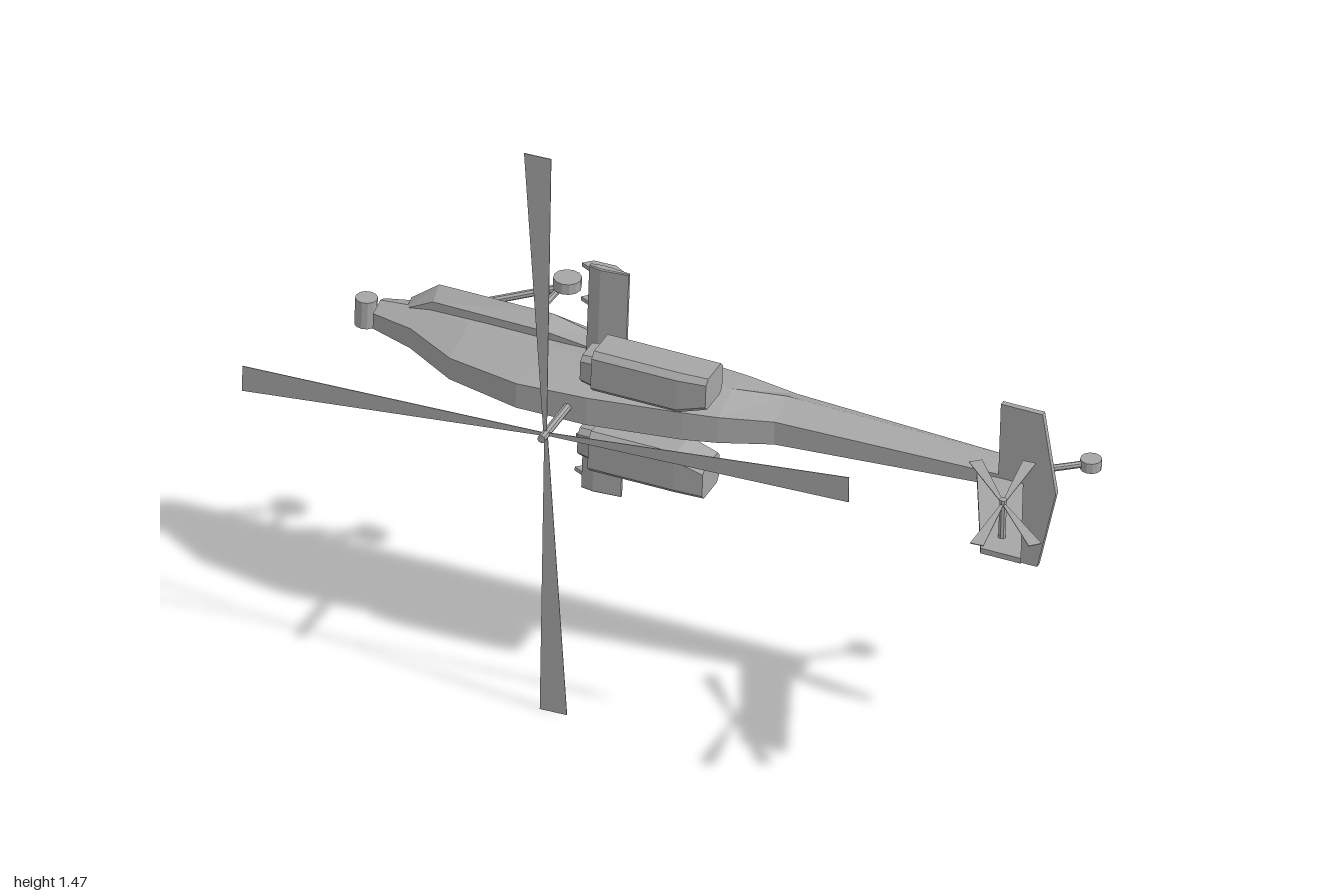
import * as THREE from 'three';

const grey = new THREE.MeshStandardMaterial({ color: 0xa6a6a6, side: THREE.DoubleSide });
grey.name = 'grey';

function add(parent, name, geometry, x = 0, y = 0, z = 0) {
  const flat = geometry.index ? geometry.toNonIndexed() : geometry;
  flat.computeVertexNormals();
  const mesh = new THREE.Mesh(flat, grey);
  mesh.name = name;
  mesh.position.set(x, y, z);
  parent.add(mesh);
  return mesh;
}

// Closed hull along x; every section is { x, ring: [[y, z], ...] }, counter-clockwise from +x
function loft(sections) {
  const pos = [], n = sections[0].ring.length;
  const put = (s, j) => pos.push(s.x, ...s.ring[j % n]);
  for (let i = 0; i < sections.length - 1; i++) {
    const a = sections[i], b = sections[i + 1];
    for (let j = 0; j < n; j++) {
      put(a, j); put(a, j + 1); put(b, j);
      put(a, j + 1); put(b, j + 1); put(b, j);
    }
  }
  const first = sections[0], last = sections[sections.length - 1];
  for (let j = 1; j < n - 1; j++) {
    put(first, 0); put(first, j + 1); put(first, j);
    put(last, 0); put(last, j); put(last, j + 1);
  }
  const g = new THREE.BufferGeometry();
  g.setAttribute('position', new THREE.Float32BufferAttribute(pos, 3));
  return g;
}

// Six-sided symmetric section: bottom, middle and top heights, then half widths
const hull = (rows) => loft(rows.map(([x, zb, zm, zt, wb, wm, wt]) => ({
  x, ring: [[wb, zb], [wm, zm], [wt, zt], [-wt, zt], [-wm, zm], [-wb, zb]],
})));

// Box section with cut corners
const chamfered = (x, y, z, hy, hz, c) => ({
  x,
  ring: [[hy - c, -hz], [hy, -hz + c], [hy, hz - c], [hy - c, hz],
    [-hy + c, hz], [-hy, hz - c], [-hy, -hz + c], [-hy + c, -hz]].map(([a, b]) => [y + a, z + b]),
});

function plate(points, depth) {
  const shape = new THREE.Shape(points.map(([a, b]) => new THREE.Vector2(a, b)));
  const g = new THREE.ExtrudeGeometry(shape, { depth, bevelEnabled: false });
  return g.translate(0, 0, -depth / 2);
}

function rod(parent, name, from, to, radius) {
  const a = new THREE.Vector3(...from), b = new THREE.Vector3(...to);
  const mesh = add(parent, name, new THREE.CylinderGeometry(radius, radius, a.distanceTo(b), 8));
  mesh.position.copy(a).add(b).multiplyScalar(0.5);
  mesh.quaternion.setFromUnitVectors(new THREE.Vector3(0, 1, 0), b.sub(a).normalize());
}

const wheel = (radius, width) => new THREE.CylinderGeometry(radius, radius, width, 12);

export function createModel() {
  const model = new THREE.Group();
  model.name = 'helicopter';

  // The aircraft lies on its side: nose at -x, its roof towards +z
  const craft = new THREE.Group();
  craft.name = 'aircraft';
  craft.position.y = 0.731;
  craft.rotation.set(-0.045, 0, -0.0142);
  model.add(craft);

  add(craft, 'fuselage', hull([
    [-0.805, -0.165, -0.14, -0.1, 0.024, 0.034, 0.02],
    [-0.7, -0.182, -0.13, -0.07, 0.035, 0.05, 0.026],
    [-0.57, -0.188, -0.1, 0.008, 0.045, 0.06, 0.028],
    [-0.39, -0.192, -0.08, 0.046, 0.05, 0.066, 0.032],
    [-0.22, -0.194, -0.08, 0.038, 0.055, 0.075, 0.036],
    [0.0, -0.196, -0.09, 0.0, 0.05, 0.072, 0.036],
    [0.08, -0.196, -0.1, -0.02, 0.045, 0.066, 0.034],
    [0.2, -0.196, -0.14, -0.064, 0.03, 0.056, 0.03],
    [0.8, -0.187, -0.15, -0.11, 0.014, 0.02, 0.014],
  ]));
  add(craft, 'sideFairings', hull([
    [-0.735, -0.18, -0.155, -0.125, 0.04, 0.052, 0.04],
    [-0.67, -0.187, -0.16, -0.125, 0.075, 0.102, 0.075],
    [-0.39, -0.19, -0.16, -0.115, 0.075, 0.102, 0.08],
    [-0.27, -0.192, -0.155, -0.11, 0.06, 0.078, 0.07],
    [-0.08, -0.19, -0.15, -0.11, 0.045, 0.062, 0.06],
  ]));
  add(craft, 'noseSensor', wheel(0.026, 0.07), -0.838, -0.002, -0.138);

  // Engines, wings, pylons and main wheels on both sides
  for (const s of [-1, 1]) {
    add(craft, 'engine', loft([
      chamfered(-0.21, s * 0.108, -0.01, 0.053, 0.053, 0.014),
      chamfered(0.0, s * 0.108, -0.01, 0.053, 0.053, 0.014),
      chamfered(0.07, s * 0.12, -0.012, 0.041, 0.049, 0.012),
    ]));
    add(craft, 'engineIntake', loft([
      chamfered(-0.243, s * 0.098, -0.012, 0.036, 0.04, 0.012),
      chamfered(-0.21, s * 0.098, -0.012, 0.04, 0.045, 0.012),
    ]));
    add(craft, 'wing', loft([
      chamfered(-0.28, s * 0.17, -0.102, 0.13, 0.005, 0.002),
      chamfered(-0.25, s * 0.17, -0.102, 0.13, 0.011, 0.003),
      chamfered(-0.183, s * 0.17, -0.102, 0.13, 0.004, 0.002),
    ]));
    for (const y of [0.184, 0.275]) {
      const pylon = plate([[-0.31, -0.128], [-0.27, -0.108], [-0.2, -0.108], [-0.19, -0.122], [-0.235, -0.15], [-0.29, -0.148]], 0.01);
      add(craft, 'pylon', pylon.rotateX(Math.PI / 2).scale(1, 1, -1).rotateX(Math.PI), 0, s * y, 0)
        .geometry.computeBoundingSphere();
    }
    add(craft, 'mainWheel', wheel(0.033, 0.027), -0.397, s * 0.128, -0.258);
    rod(craft, 'mainGearStrut', [-0.555, s * 0.075, -0.187], [-0.397, s * 0.118, -0.256], 0.009);
    rod(craft, 'mainGearBrace', [-0.44, s * 0.075, -0.182], [-0.41, s * 0.115, -0.25], 0.008);
  }

  // Tail surfaces
  const fin = plate([[0.68, -0.11], [0.795, -0.11], [0.915, 0.185], [0.815, 0.185]], 0.014);
  add(craft, 'tailFin', fin.rotateX(Math.PI / 2));
  add(craft, 'tailplane', plate([[0.735, -0.205], [0.838, -0.205], [0.877, 0], [0.838, 0.205], [0.735, 0.205]], 0.014), 0, 0, -0.112);
  rod(craft, 'tailGearStrut', [0.79, 0, -0.175], [0.895, 0, -0.262], 0.008);
  add(craft, 'tailWheel', wheel(0.025, 0.026), 0.897, 0, -0.262);

  // Main rotor with four flaring blades
  rod(craft, 'rotorMast', [-0.266, 0, 0.02], [-0.266, 0, 0.19], 0.01);
  const rotor = new THREE.Group();
  rotor.name = 'mainRotor';
  rotor.position.set(-0.266, 0, 0.165);
  rotor.rotation.set(0, 0.03, 0.0142);
  craft.add(rotor);
  for (let i = 0; i < 4; i++) {
    add(rotor, 'mainBlade', plate([[0, -0.003], [0.738, 0], [0.738, 0.066], [0, 0.005]], 0.002))
      .rotation.z = i * Math.PI / 2;
  }

  // Tail rotor
  rod(craft, 'tailRotorShaft', [0.84, 0, 0.12], [0.84, 0.108, 0.12], 0.009);
  const tailRotor = new THREE.Group();
  tailRotor.name = 'tailRotor';
  tailRotor.position.set(0.84, 0.097, 0.12);
  tailRotor.rotation.set(Math.PI / 2, 0, 0.045);
  craft.add(tailRotor);
  for (const angle of [0.72, 1.45, 0.78 + Math.PI, 1.45 + Math.PI]) {
    add(tailRotor, 'tailBlade', plate([[0, -0.003], [0.186, -0.016], [0.186, 0.016], [0, 0.003]], 0.002))
      .rotation.z = angle;
  }
  return model;
}
